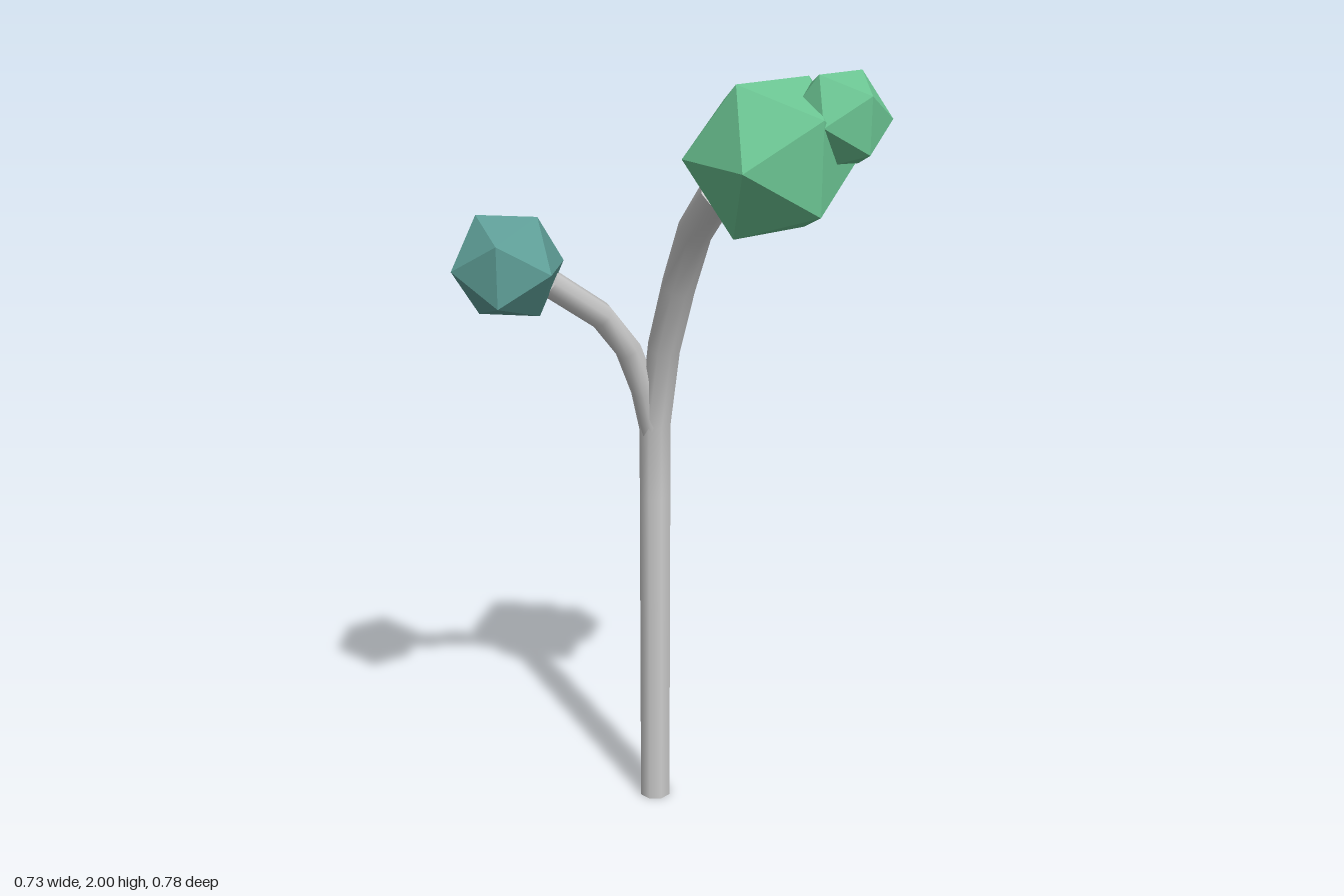
import * as THREE from 'three';

const SIDES = 8;
const BASE = { x: 0.186, z: -0.261 };

const bark = new THREE.MeshStandardMaterial({ color: 0xcccccc });
const greenLeaf = new THREE.MeshStandardMaterial({ color: 0x6bc492, flatShading: true });
const tealLeaf = new THREE.MeshStandardMaterial({ color: 0x5f9f98, flatShading: true });

// Bends a capped cylinder along [outward, height] points, then turns it to lean towards (dx, dz)
function limb(name, radius, path, dx, dz) {
  const n = path.length - 1;
  const points = path.map(([h, y]) => new THREE.Vector2(h, y));
  const geometry = new THREE.CylinderGeometry(radius, radius, 1, SIDES, n);
  const pos = geometry.attributes.position;
  const nor = geometry.attributes.normal;
  for (let i = 0; i < pos.count; i++) {
    const row = Math.round((pos.getY(i) + 0.5) * n);
    const p = points[row];
    const t = points[Math.min(row + 1, n)].clone().sub(points[Math.max(row - 1, 0)]).normalize();
    const x = pos.getX(i);
    pos.setXYZ(i, p.x + x * t.y, p.y - x * t.x, pos.getZ(i));
    const nx = nor.getX(i), ny = nor.getY(i);
    nor.setXYZ(i, nx * t.y + ny * t.x, ny * t.y - nx * t.x, nor.getZ(i));
  }
  const mesh = new THREE.Mesh(geometry, bark);
  mesh.name = name;
  mesh.position.set(BASE.x, 0, BASE.z);
  mesh.rotation.y = Math.atan2(-dz, dx);
  return mesh;
}

// Faceted clump of leaves
function foliage(name, radius, material, x, y, z, turn = 0) {
  const mesh = new THREE.Mesh(new THREE.IcosahedronGeometry(radius, 0), material);
  mesh.name = name;
  mesh.position.set(x, y, z);
  mesh.rotation.y = turn;
  return mesh;
}

export function createModel() {
  const tree = new THREE.Group();
  tree.name = 'tree';

  // Trunk: straight, then arching forward
  tree.add(limb('trunk', 0.042, [
    [0, 0], [0, 0.88], [0, 1.08], [0.055, 1.29], [0.14, 1.466], [0.228, 1.616], [0.35, 1.73],
  ], -0.23, 0.97));

  // Side branch: curving out to the right
  tree.add(limb('sideBranch', 0.033, [
    [0, 1.03], [0.036, 1.17], [0.088, 1.288], [0.174, 1.39], [0.335, 1.502],
  ], -0.995, 0.085));

  // Leaf clumps
  tree.add(foliage('mainFoliage', 0.194, greenLeaf, 0.162, 1.815, 0.188));
  tree.add(foliage('smallFoliage', 0.117, greenLeaf, 0.262, 1.9, 0.29));
  tree.add(foliage('branchFoliage', 0.136, tealLeaf, -0.233, 1.545, -0.262, -Math.PI / 4));

  return tree;
}
